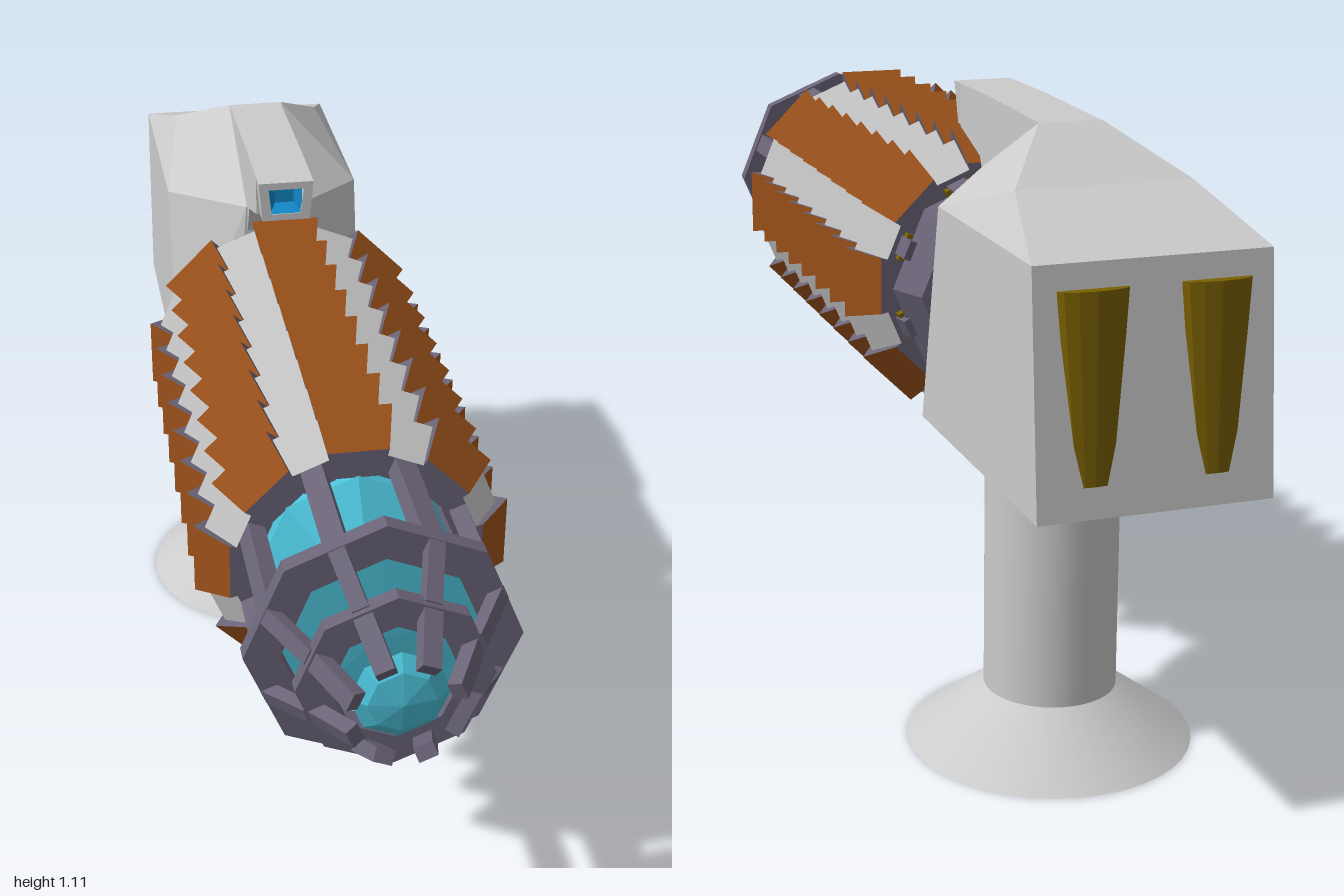
import * as THREE from 'three';
import { ConvexGeometry } from 'three/addons/geometries/ConvexGeometry.js';

const mat = (color, flatShading = true) =>
  new THREE.MeshStandardMaterial({ color, flatShading, side: THREE.DoubleSide });
const GREY = mat(0xcccccc), SMOOTH = mat(0xcccccc, false), PURPLE = mat(0x6b6478);
const ORANGE = mat(0xa0541c), CYAN = mat(0x4cc0d8), OLIVE = mat(0x7a6000), BLUE = mat(0x1088c8);
const AXIS_Y = 0.76;

function add(parent, name, geometry, material, x = 0, y = 0, z = 0) {
  const mesh = new THREE.Mesh(geometry, material);
  mesh.name = name;
  mesh.position.set(x, y, z);
  parent.add(mesh);
  return mesh;
}

// Eight-sided turned part along z, from [radius, z] pairs
function turned(points) {
  const g = new THREE.LatheGeometry(points.map(([r, z]) => new THREE.Vector2(r, z)), 8);
  return g.rotateX(Math.PI / 2);
}
const ring = (ri, ro, z0, z1) => turned([[ri, z0], [ro, z0], [ro, z1], [ri, z1], [ri, z0]]);

// Eight beams around the barrel axis, from (r0, z0) to (r1, z1)
function beams(parent, name, r0, z0, r1, z1, width, thick) {
  for (let i = 0; i < 8; i++) {
    const spoke = new THREE.Group();
    spoke.rotation.z = (i + 0.5) * Math.PI / 4;
    const beam = add(spoke, name, new THREE.BoxGeometry(width, thick, Math.hypot(r1 - r0, z1 - z0)),
      PURPLE, 0, (r0 + r1) / 2, (z0 + z1) / 2);
    beam.rotation.x = Math.atan2(r0 - r1, z1 - z0);
    parent.add(spoke);
  }
}

function quadGeometry(quads) {
  const pos = [];
  for (const [a, b, c, d] of quads) pos.push(...a, ...b, ...c, ...a, ...c, ...d);
  const g = new THREE.BufferGeometry();
  g.setAttribute('position', new THREE.Float32BufferAttribute(pos, 3));
  g.computeVertexNormals();
  return g;
}

// Zigzag armour strip: coloured outer skin with dark flanks
function armourStrip(name, valley, peak, slope, material) {
  const profile = [];
  for (let i = 0; i <= 16; i++) profile.push([i % 2 ? peak : valley, -0.26 + i * 0.0525]);
  const skin = [], flanks = [], inner = 0.165;
  const at = (s, r, z) => [s * r * slope, r, z];
  for (let i = 0; i < 16; i++) {
    const [r0, z0] = profile[i], [r1, z1] = profile[i + 1];
    skin.push([at(-1, r0, z0), at(-1, r1, z1), at(1, r1, z1), at(1, r0, z0)]);
    flanks.push([at(1, inner, z0), at(1, r0, z0), at(1, r1, z1), at(1, inner, z1)]);
    flanks.push([at(-1, inner, z0), at(-1, inner, z1), at(-1, r1, z1), at(-1, r0, z0)]);
  }
  for (const [s, z] of [[1, 0.58], [-1, -0.26]])
    flanks.push([at(-s, inner, z), at(s, inner, z), at(s, valley, z), at(-s, valley, z)]);
  const strip = new THREE.Group();
  strip.name = name;
  add(strip, name + 'Skin', quadGeometry(skin), material);
  add(strip, name + 'Flanks', quadGeometry(flanks), PURPLE);
  return strip;
}

function createBarrel() {
  const barrel = new THREE.Group();
  barrel.name = 'barrel';
  barrel.position.y = AXIS_Y;

  // Alternating armour strips around the core
  for (let i = 0; i < 16; i++) {
    const strip = i % 2 ? armourStrip('greyStrip', 0.205, 0.252, 0.172, GREY)
      : armourStrip('orangeStrip', 0.214, 0.268, 0.24, ORANGE);
    strip.rotation.z = i * Math.PI / 8;
    if (i % 2) add(strip, 'rearVent', new THREE.BoxGeometry(0.05, 0.025, 0.03), OLIVE, 0, 0.18, -0.262);
    barrel.add(strip);
  }

  // Glowing core, lens and tip
  add(barrel, 'core', turned([[0, -0.33], [0.15, -0.33], [0.168, -0.24], [0.168, 0.58], [0.06, 0.67], [0, 0.67]]), CYAN);
  add(barrel, 'lens', turned([[0, 0.7], [0.06, 0.71], [0.12, 0.735], [0.168, 0.785], [0, 0.795]]), CYAN);
  add(barrel, 'tip', turned([[0, 0.925], [0.06, 0.93], [0.08, 0.945], [0.055, 0.965], [0, 0.975]]), CYAN);

  // Front cage
  add(barrel, 'frontRing', ring(0.165, 0.225, 0.79, 0.82), PURPLE);
  add(barrel, 'tipRing', ring(0.105, 0.158, 0.888, 0.915), PURPLE);
  beams(barrel, 'cageBar', 0.19, 0.55, 0.19, 0.8, 0.038, 0.03);
  beams(barrel, 'cageBrace', 0.2, 0.81, 0.14, 0.9, 0.028, 0.022);
  beams(barrel, 'claw', 0.137, 0.9, 0.084, 0.993, 0.032, 0.024);

  // Rear collar joining the head
  add(barrel, 'rearCollar', turned([[0, -0.37], [0.17, -0.36], [0.2, -0.285], [0.165, -0.285], [0.14, -0.33]]), PURPLE);
  beams(barrel, 'collarBar', 0.18, -0.3, 0.19, -0.2, 0.035, 0.025);
  return barrel;
}

function createHead() {
  const head = new THREE.Group();
  head.name = 'head';
  const mirrored = (points) => new ConvexGeometry(points.flatMap(([x, y, z]) =>
    [new THREE.Vector3(x, y, z), new THREE.Vector3(-x, y, z)]));
  const sideFront = [[0.195, 0.57, -0.44], [0.195, 0.96, -0.53]], ridge = [0.15, 1.03, -0.77];

  add(head, 'rearHousing', mirrored([[0.195, 0.57, -1], [0.195, 0.96, -0.965], ridge, ...sideFront]), GREY);
  add(head, 'frontHousing', mirrored([[0.195, 0.57, -0.77], ridge, ...sideFront, [0.055, 1.105, -0.62],
    [0.09, 0.57, -0.36], [0.055, 0.92, -0.37], [0.055, 0.99, -0.36]]), GREY);

  // Overhanging arm, cut from its side profile
  const side = new THREE.Shape([[-0.225, 1.035], [-0.225, 1.112], [-0.36, 1.112], [-0.62, 1.105],
    [-0.62, 0.95], [-0.37, 0.92], [-0.33, 1.0]].map(([z, y]) => new THREE.Vector2(-z, y)));
  const arm = new THREE.ExtrudeGeometry(side, { depth: 0.106, bevelEnabled: false });
  add(head, 'sightArm', arm.translate(0, 0, -0.053).rotateY(Math.PI / 2), GREY);

  // Sight frame with a recessed blue window
  const trapezoid = (top, bottom, y0, y1) => [[-bottom, y0], [bottom, y0], [top, y1], [-top, y1]]
    .map(([x, y]) => new THREE.Vector2(x, y));
  const frame = new THREE.Shape(trapezoid(0.053, 0.046, 1.035, 1.112));
  frame.holes.push(new THREE.Path(trapezoid(0.034, 0.028, 1.048, 1.098)));
  add(head, 'sightFrame', new THREE.ExtrudeGeometry(frame, { depth: 0.035, bevelEnabled: false }), GREY, 0, 0, -0.225);
  add(head, 'sightWindow', new THREE.BoxGeometry(0.07, 0.052, 0.01), BLUE, 0, 1.073, -0.224);
  const liner = (x0, x1, y0, y1, z) => [[x0, y0, z], [x1, y0, z], [x1, y1, z], [x0, y1, z]];
  const outer = liner(-0.031, 0.031, 1.048, 1.098, -0.192), inner = liner(-0.018, 0.018, 1.06, 1.088, -0.218);
  add(head, 'sightLiner', quadGeometry([0, 1, 2, 3].map((i) =>
    [outer[i], outer[(i + 1) % 4], inner[(i + 1) % 4], inner[i]])), BLUE);

  // Tapered vents on the sloping back
  for (const s of [-1, 1]) {
    const vent = add(head, 'backVent', new THREE.CylinderGeometry(0.058, 0.034, 0.3, 12).scale(1, 1, 0.33),
      OLIVE, s * 0.1, 0.77, -0.979);
    vent.rotation.x = 0.05;
  }
  return head;
}

export function createModel() {
  const model = new THREE.Group();
  model.name = 'turret';
  model.add(createBarrel(), createHead());

  // Hollow flared foot and column
  add(model, 'column', new THREE.CylinderGeometry(0.117, 0.117, 0.49, 40, 1, true), SMOOTH, 0, 0.345, -0.565);
  add(model, 'foot', new THREE.CylinderGeometry(0.117, 0.252, 0.1, 40, 1, true), SMOOTH, 0, 0.05, -0.565);
  return model;
}
